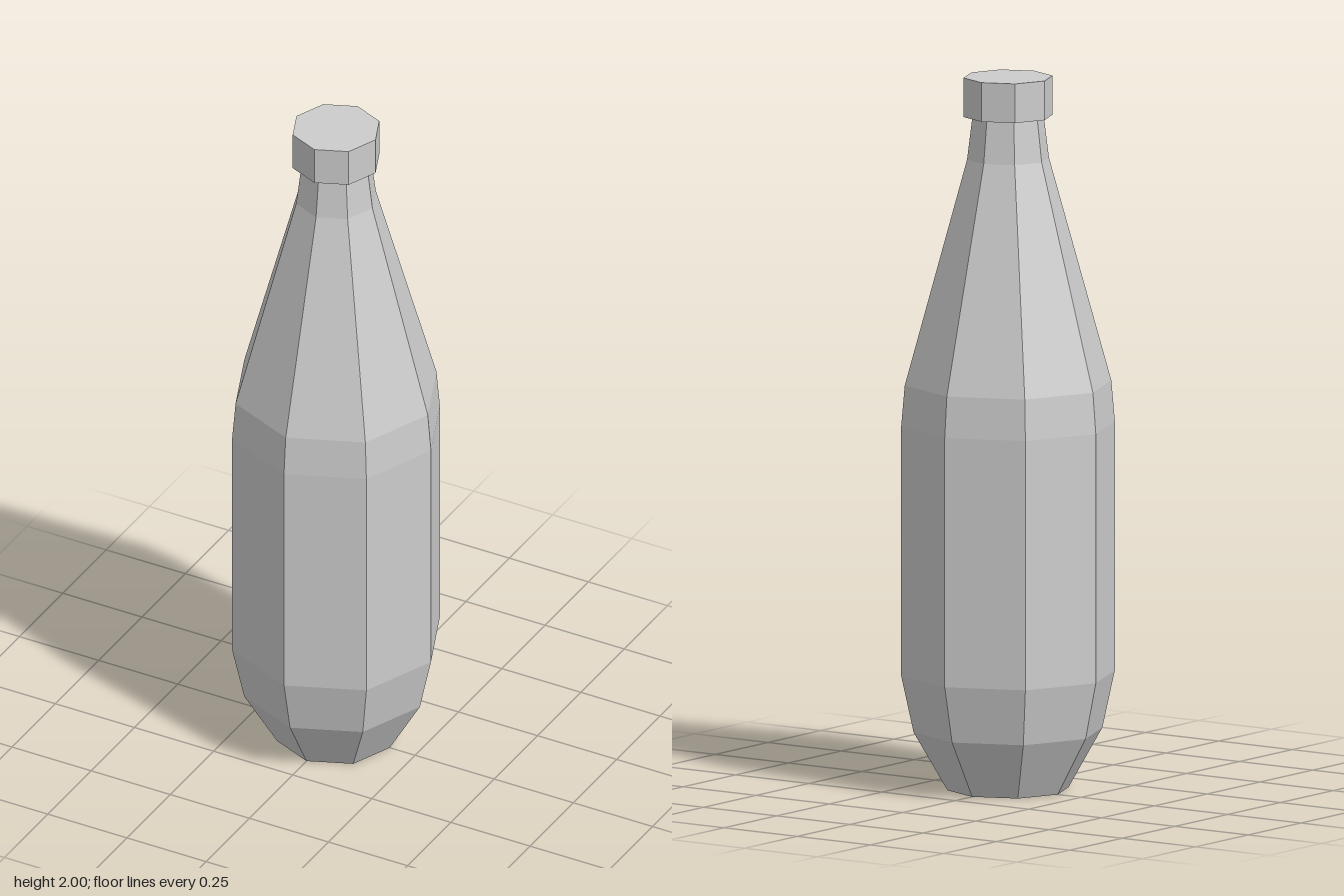
import * as THREE from 'three';

const SIDES = 8;

// Eight-sided turned solid from [radius, height] pairs, bottom to top
function turned(name, profile, material) {
  const points = profile.map(([r, y]) => new THREE.Vector2(r, y));
  const mesh = new THREE.Mesh(new THREE.LatheGeometry(points, SIDES), material);
  mesh.name = name;
  return mesh;
}

export function createModel() {
  const model = new THREE.Group();
  model.name = 'bottle';

  const grey = new THREE.MeshStandardMaterial({ color: 0xcccccc, flatShading: true });
  grey.name = 'light grey';

  // Body: flat base, tapered foot, straight wall, long shoulder and neck
  model.add(turned('body', [
    [0, 0], [0.17, 0], [0.265, 0.165], [0.3, 0.325],
    [0.3, 1.025], [0.29, 1.14], [0.115, 1.77], [0.1, 1.89],
  ], grey));

  // Cap overhanging the neck, with an underside rim
  model.add(turned('cap', [
    [0.1, 1.89], [0.125, 1.89], [0.125, 2], [0, 2],
  ], grey));

  return model;
}
